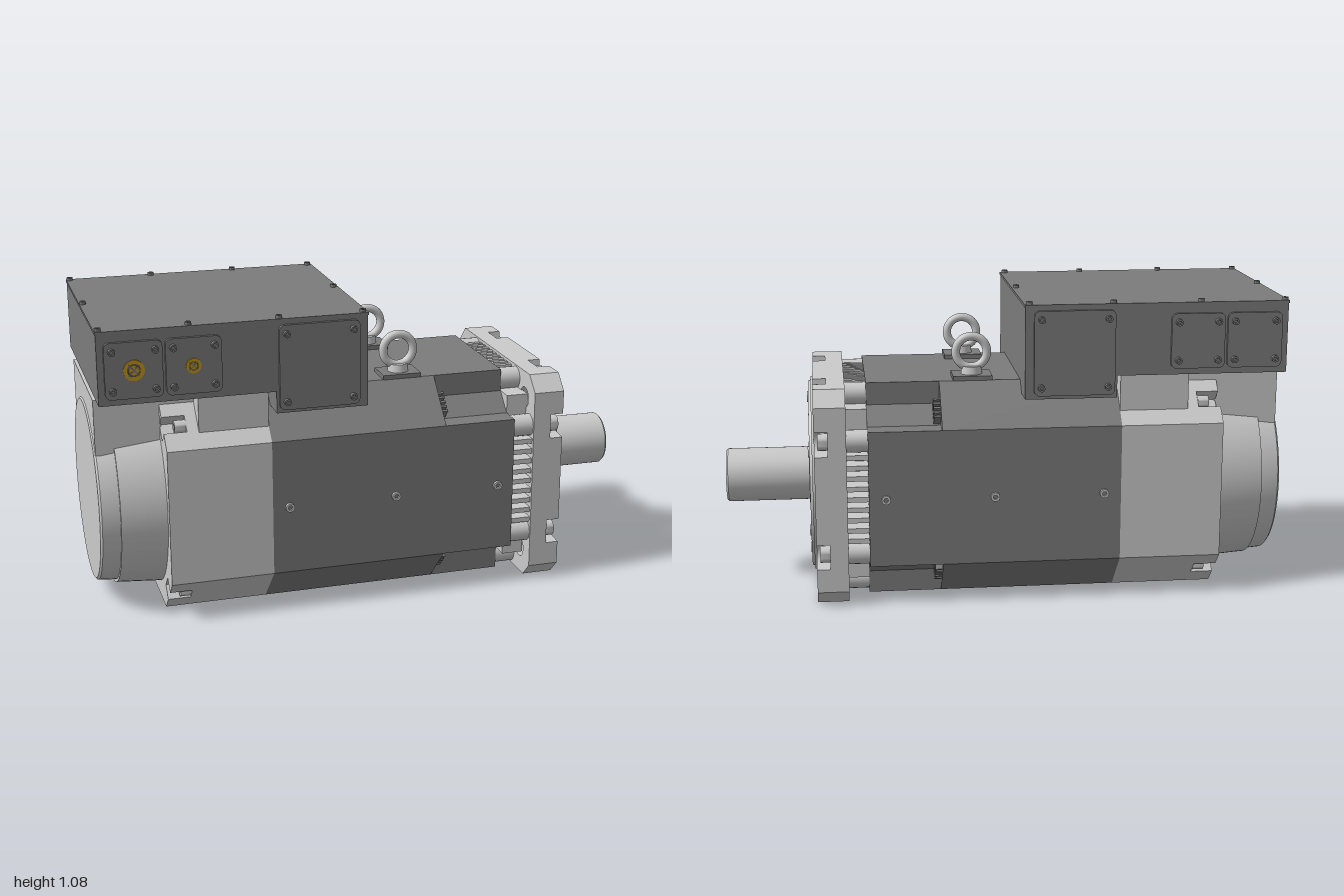
import * as THREE from 'three';
import { toCreasedNormals } from 'three/addons/utils/BufferGeometryUtils.js';

const light = new THREE.MeshStandardMaterial({ color: 0xcccccc });
const dark = new THREE.MeshStandardMaterial({ color: 0x7c7c7c });
const gold = new THREE.MeshStandardMaterial({ color: 0xc8981c });
const AXIS = 0.39; // height of the shaft axis

function add(parent, name, geo, mat = light, x = 0, y = 0, z = 0) {
  const m = new THREE.Mesh(geo, mat);
  m.name = name;
  m.position.set(x, y, z);
  parent.add(m);
  return m;
}

const box = (w, h, d) => new THREE.BoxGeometry(w, h, d);

// Repeat one quadrant of outline points around the axis
function fourfold(quad) {
  const pts = [];
  let q = quad;
  for (let k = 0; k < 4; k++) {
    pts.push(...q.map(([u, v]) => new THREE.Vector2(u, v)));
    q = q.map(([u, v]) => [-v, u]);
  }
  return new THREE.Shape(pts);
}

// Extrude an outline along x from x0 to x1
function prism(shape, x0, x1) {
  const g = new THREE.ExtrudeGeometry(shape, { depth: x1 - x0, bevelEnabled: false, curveSegments: 20 });
  g.rotateY(Math.PI / 2).translate(x0, 0, 0);
  return toCreasedNormals(g, 0.6);
}

// Revolve [x, radius] pairs around the x axis
function turned(profile, segments = 72) {
  const g = new THREE.LatheGeometry(profile.map(([x, r]) => new THREE.Vector2(r, x)), segments);
  return toCreasedNormals(g.rotateZ(-Math.PI / 2), 0.5);
}

function circlePath(r, cx = 0, cy = 0) {
  return new THREE.Path().absarc(cx, cy, r, 0, Math.PI * 2, true);
}

// Socket-head screw with a hexagonal recess, pointing along dir
function screw(parent, r, h, pos, dir, mat = light) {
  const head = new THREE.Shape().absarc(0, 0, r, 0, Math.PI * 2);
  const hex = [];
  for (let i = 0; i < 6; i++) hex.push(new THREE.Vector2(Math.cos(-i * Math.PI / 3), Math.sin(-i * Math.PI / 3)).multiplyScalar(r * 0.55));
  head.holes.push(new THREE.Path(hex));
  const g = new THREE.Group();
  g.name = 'screw';
  add(g, 'screwHead', toCreasedNormals(new THREE.ExtrudeGeometry(head, { depth: h, bevelEnabled: false, curveSegments: 10 }), 0.7), mat);
  add(g, 'screwSocket', new THREE.CircleGeometry(r * 0.7, 12), dark, 0, 0, h * 0.3);
  g.position.set(...pos);
  g.quaternion.setFromUnitVectors(new THREE.Vector3(0, 0, 1), new THREE.Vector3(...dir));
  parent.add(g);
}

function roundedPanel(w, h, r, d) {
  const s = new THREE.Shape(), a = w / 2 - r, b = h / 2 - r, q = Math.PI / 2;
  s.absarc(a, b, r, 0, q).absarc(-a, b, r, q, 2 * q).absarc(-a, -b, r, 2 * q, 3 * q).absarc(a, -b, r, 3 * q, 4 * q);
  return new THREE.ExtrudeGeometry(s, { depth: d, bevelEnabled: false, curveSegments: 5 });
}

function buildBody(m) {
  const octagon = [[0.39, 0.245], [0.245, 0.39]];
  add(m, 'statorHousing', prism(fourfold(octagon), -0.405, 0.23), dark);
  add(m, 'statorFrontWithCornerPockets', prism(fourfold([[0.39, 0.245], [0.31, 0.245], [0.245, 0.31], [0.245, 0.39]]), 0.23, 0.49), dark);
  add(m, 'rearCasing', prism(fourfold(octagon), -0.69, -0.405));
  add(m, 'rearCasingSlotted', prism(fourfold([[0.39, 0.245], [0.34, 0.295], [0.3, 0.255], [0.255, 0.3], [0.295, 0.34], [0.245, 0.39]]), -0.77, -0.69));
  for (const s of [-1, 1]) for (const t of [-1, 1]) screw(m, 0.022, 0.04, [-0.69, s * 0.305, t * 0.305], [-1, 0, 0]);
  for (const s of [-1, 1]) for (const x of [-0.345, 0.045, 0.43]) screw(m, 0.016, 0.01, [x, 0, s * 0.39], [0, 0, s]);
  // Small ribs at the closed end of each corner pocket
  for (let k = 0; k < 4; k++) {
    const corner = new THREE.Group();
    corner.name = 'pocketRibs';
    corner.rotation.x = k * Math.PI / 2 + Math.PI / 4;
    for (let i = -2; i <= 2; i++) add(corner, 'pocketRib', box(0.03, 0.045, 0.008), dark, 0.24, 0.415, i * 0.018);
    m.add(corner);
  }
}

function buildRear(m) {
  add(m, 'fanShroud', turned([[-1, 0], [-1, 0.325], [-0.993, 0.333], [-0.93, 0.338], [-0.93, 0.348], [-0.77, 0.36], [-0.77, 0]]));
  // Cable duct from the shroud up to the terminal box
  add(m, 'shroudDuct', box(0.23, 0.2, 0.52), light, -0.88, 0.31);
  add(m, 'ductBridge', box(0.13, 0.05, 0.52), light, -0.71, 0.385);
  add(m, 'terminalNeck', box(0.245, 0.135, 0.69), light, -0.5275, 0.3575);
}

function buildFront(m) {
  // Ribbed end bell between housing and flange
  add(m, 'endBellCore', box(0.08, 0.62, 0.62), light, 0.53);
  for (let k = 0; k < 4; k++) {
    const side = new THREE.Group();
    side.name = 'endBellSide';
    side.rotation.x = k * Math.PI / 2;
    for (let i = -4; i <= 4; i++) add(side, 'coolingFin', box(0.08, 0.08, 0.018), light, 0.53, 0.34, i * 0.038);
    for (const s of [-1, 1]) {
      const boss = add(side, 'boltBoss', new THREE.CylinderGeometry(0.04, 0.04, 0.085, 20), light, 0.53, 0.345, s * 0.205);
      boss.rotation.z = Math.PI / 2;
    }
    m.add(side);
  }
  // Flange: solid rear layer, front layer with open bolt notches
  const holes = shape => {
    for (const s of [-1, 1]) for (const t of [-1, 1]) shape.holes.push(circlePath(0.038, s * 0.293, t * 0.293));
    return shape;
  };
  const notch = [[0.39, 0.16]];
  for (let i = 0; i <= 8; i++) {
    const a = -Math.PI / 2 - i * Math.PI / 8;
    notch.push([0.355 + 0.042 * Math.cos(a), 0.205 + 0.042 * Math.sin(a)]);
  }
  notch.push([0.39, 0.25]);
  const mirrored = notch.map(([u, v]) => [v, u]).reverse();
  const chamfer = [[0.39, 0.335], [0.335, 0.39]];
  add(m, 'flangeRear', prism(holes(fourfold(chamfer)), 0.565, 0.63));
  add(m, 'flangeFront', prism(holes(fourfold([...notch, ...chamfer, ...mirrored])), 0.63, 0.677));
  for (const s of [-1, 1]) for (const t of [-1, 1]) {
    screw(m, 0.03, 0.035, [0.63, s * 0.205, t * 0.35], [1, 0, 0]);
    screw(m, 0.03, 0.035, [0.63, s * 0.35, t * 0.205], [1, 0, 0]);
  }
  add(m, 'pilotRing', turned([[0.67, 0.358], [0.685, 0.358], [0.685, 0.345], [0.694, 0.342], [0.694, 0.18],
    [0.689, 0.178], [0.689, 0.118], [0.698, 0.115], [0.698, 0.103], [0.69, 0.1], [0.69, 0]]));
  for (let i = 0; i < 6; i++) {
    const a = i * Math.PI / 3;
    screw(m, 0.02, 0.006, [0.693, 0.29 * Math.cos(a), 0.29 * Math.sin(a)], [1, 0, 0]);
  }
  add(m, 'shaft', turned([[0.68, 0], [0.68, 0.098], [0.993, 0.098], [1, 0.092], [1, 0]], 48));
}

function buildTerminalBox(root) {
  const g = new THREE.Group();
  g.name = 'terminalBox';
  root.add(g);
  const outline = [[-0.99, 0.815], [-0.385, 0.815], [-0.385, 0.737], [-0.06, 0.737], [-0.06, 1.063], [-0.99, 1.063]];
  const shell = new THREE.ExtrudeGeometry(new THREE.Shape(outline.map(p => new THREE.Vector2(...p))), { depth: 0.77, bevelEnabled: false });
  add(g, 'boxShell', shell, dark, 0, 0, -0.385);
  add(g, 'boxLid', box(0.935, 0.01, 0.778), dark, -0.525, 1.066);
  for (const x of [-0.98, -0.68, -0.37, -0.075]) for (const s of [-1, 1]) screw(g, 0.011, 0.011, [x, 1.07, s * 0.372], [0, 1, 0], dark);
  for (const x of [-0.98, -0.075]) screw(g, 0.011, 0.011, [x, 1.07, 0], [0, 1, 0], dark);

  // Side cover panels: centre x, centre y, width, height
  const panels = [[-0.87, 0.935, 0.195, 0.195], [-0.668, 0.935, 0.19, 0.195], [-0.233, 0.9, 0.285, 0.3]];
  for (const s of [-1, 1]) for (const [x, y, w, h] of panels) {
    const panel = roundedPanel(w, h, 0.02, 0.012);
    add(g, 'coverPanel', panel, dark, x, y, s > 0 ? 0.385 : -0.397);
    for (const i of [-1, 1]) for (const j of [-1, 1])
      screw(g, 0.012, 0.015, [x + i * (w / 2 - 0.025), y + j * (h / 2 - 0.03), s * 0.397], [0, 0, s], dark);
  }
  // Brass connector inserts on the front side
  for (const [x, r] of [[-0.87, 0.036], [-0.67, 0.026]]) {
    add(g, 'connector', new THREE.CylinderGeometry(r, r, 0.006, 28).rotateX(Math.PI / 2), gold, x, 0.935, 0.398);
    for (const a of [1, -1]) add(g, 'connectorSlot', box(r * 1.5, r * 0.15, 0.002), dark, x, 0.935, 0.4015).rotation.z = a * Math.PI / 4;
    add(g, 'connectorRing', new THREE.TorusGeometry(r * 0.55, r * 0.06, 6, 28), dark, x, 0.935, 0.401);
  }
}

function buildEyebolts(root) {
  for (const s of [-1, 1]) {
    const g = new THREE.Group();
    g.name = 'eyebolt';
    g.position.set(0.11, 0.78, s * 0.195);
    add(g, 'eyeboltPad', box(0.14, 0.016, 0.11), dark, 0, 0.008);
    add(g, 'eyeboltCollar', new THREE.CylinderGeometry(0.034, 0.038, 0.028, 28), light, 0, 0.03);
    add(g, 'eyeboltRing', new THREE.TorusGeometry(0.056, 0.0155, 14, 40), light, 0, 0.094);
    root.add(g);
  }
}

export function createModel() {
  const root = new THREE.Group();
  root.name = 'electricMotor';
  const motor = new THREE.Group();
  motor.name = 'motor';
  motor.position.y = AXIS;
  root.add(motor);
  buildBody(motor);
  buildRear(motor);
  buildFront(motor);
  buildTerminalBox(root);
  buildEyebolts(root);
  return root;
}
